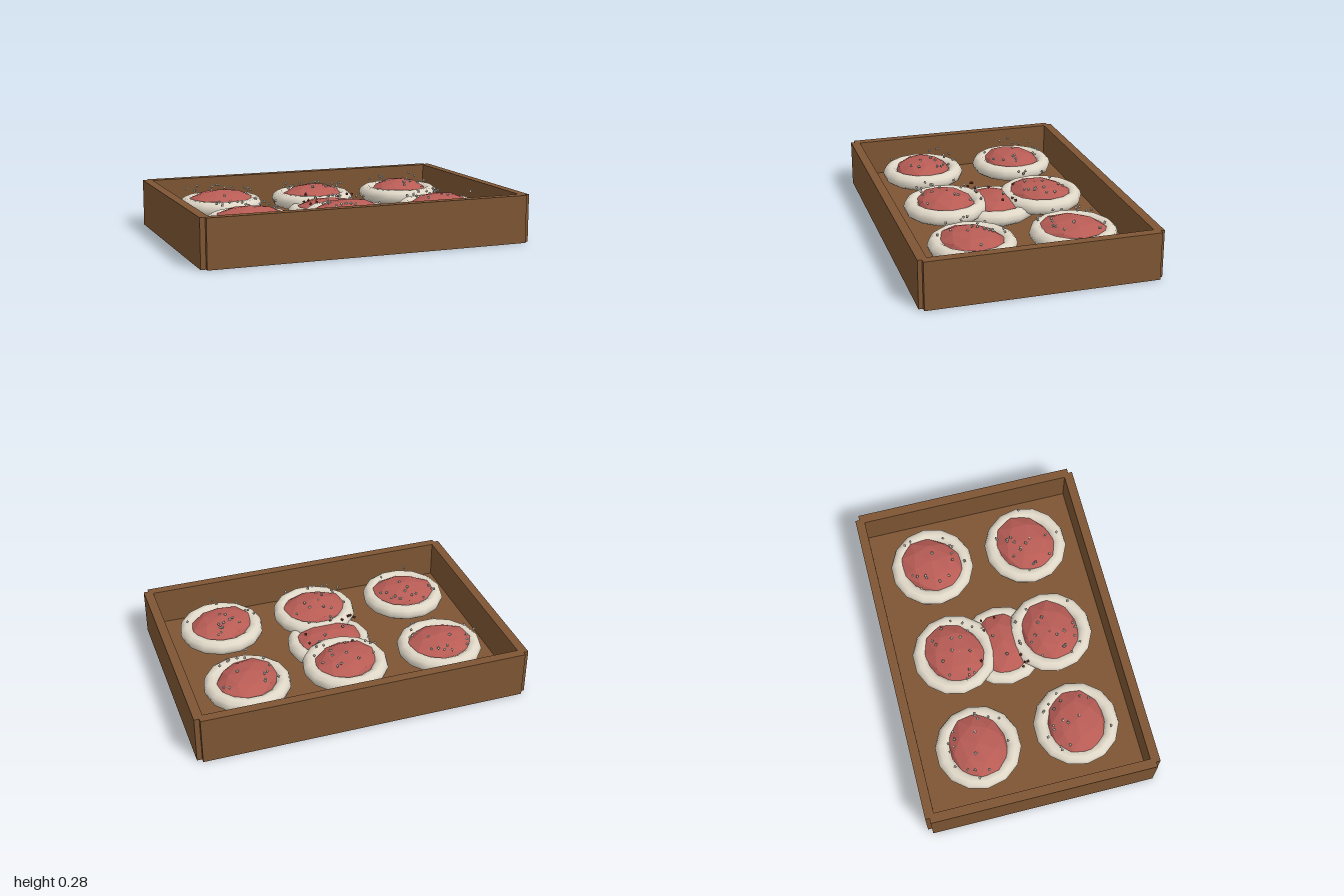
import * as THREE from 'three';

const mat = (name, color, flatShading = false) => {
  const m = new THREE.MeshStandardMaterial({ color, flatShading });
  m.name = name;
  return m;
};

// Small repeatable random source for the scattered sprinkles
function seeded(seed) {
  let s = seed;
  return () => (s = (s * 16807) % 2147483647) / 2147483647;
}

export function createModel() {
  const wood = mat('wood', 0x7d5533);
  const cream = mat('cream', 0xe0d8c8);
  const filling = mat('filling', 0xb85c55, true);
  const crumb = mat('crumb', 0x7a3b30, true);
  const sugar = mat('sugar', 0xd8d2c6, true);

  const model = new THREE.Group();
  model.name = 'pastryTray';
  const add = (parent, name, geometry, material, x, y, z) => {
    const mesh = new THREE.Mesh(geometry, material);
    mesh.name = name;
    mesh.position.set(x, y, z);
    parent.add(mesh);
    return mesh;
  };

  // Tray: floor and four walls that leave notched corners
  const tray = new THREE.Group();
  tray.name = 'tray';
  model.add(tray);
  const H = 0.285, T = 0.055;
  add(tray, 'floor', new THREE.BoxGeometry(1.94, 0.06, 1.34), wood, 0, 0.03, 0);
  for (const s of [-1, 1]) {
    add(tray, s > 0 ? 'frontWall' : 'backWall',
      new THREE.BoxGeometry(1.94, H, T), wood, 0, H / 2, s * (0.7 - T / 2));
    add(tray, s > 0 ? 'leftWall' : 'rightWall',
      new THREE.BoxGeometry(T, H, 1.35), wood, s * (1 - T / 2), H / 2, 0);
  }

  // Pastries: cream ring, faceted filling and scattered sprinkles
  const ringGeo = new THREE.TorusGeometry(0.21, 0.046, 10, 14).rotateX(Math.PI / 2);
  const domeGeo = new THREE.IcosahedronGeometry(1, 1).scale(0.225, 0.09, 0.178);
  const beadGeo = new THREE.OctahedronGeometry(0.011);
  const random = seeded(77);

  // x, y, z, turn of the filling
  const pastries = [
    [-0.6, 0.17, -0.3, 0.15], [0, 0.17, -0.3, 0.55], [0.6, 0.17, -0.3, 0.85],
    [-0.6, 0.17, 0.3, -0.08], [0, 0.17, 0.3, 0.15], [0.6, 0.17, 0.3, 0.55],
    [0, 0.13, 0, 0],
  ];
  pastries.forEach(([x, y, z, turn], i) => {
    const pastry = new THREE.Group();
    pastry.name = 'pastry' + (i + 1);
    pastry.position.set(x, y, z);
    model.add(pastry);
    add(pastry, 'creamRing', ringGeo, cream, 0, 0, 0);
    add(pastry, 'filling', domeGeo, filling, 0, 0, 0).rotation.y = turn;

    const isCentre = i === 6;
    for (let k = 0; k < 18; k++) {
      const a = random() * Math.PI * 2;
      const r = 0.21 * Math.sqrt(random());
      const h = 0.075 + 0.025 * random();
      const bead = add(pastry, 'sprinkle', beadGeo, isCentre && k % 3 ? crumb : sugar,
        r * Math.cos(a), h, r * Math.sin(a));
      bead.rotation.set(random() * 3, random() * 3, 0);
    }
  });

  return model;
}
